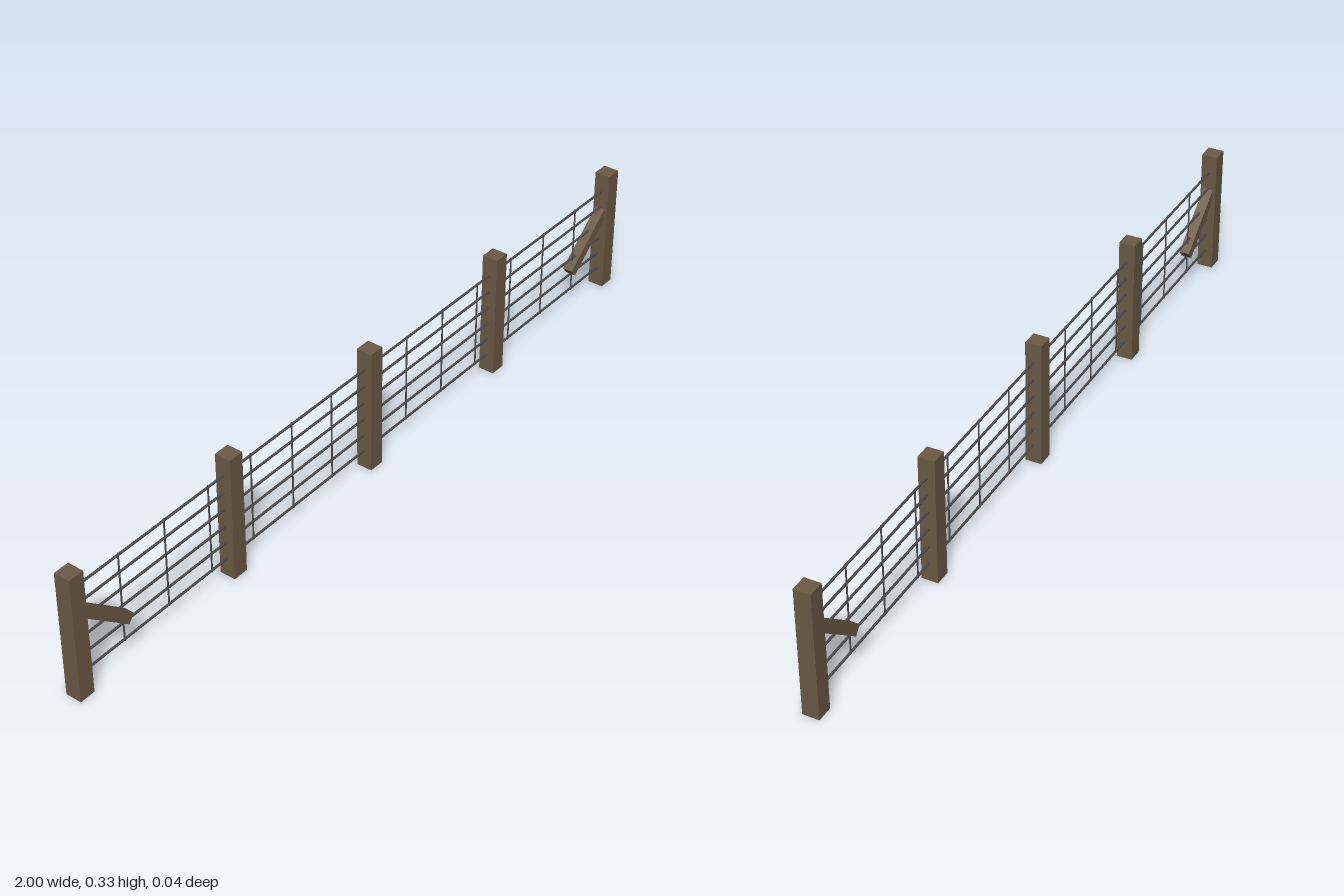
import * as THREE from 'three';

export function createModel() {
  const fence = new THREE.Group();
  fence.name = 'wireFence';
  const wood = new THREE.MeshStandardMaterial({ color: 0x6b5a45 });
  const steel = new THREE.MeshStandardMaterial({ color: 0x4c4c4e });

  const add = (name, geometry, material, x, y, angle = 0) => {
    const mesh = new THREE.Mesh(geometry, material);
    mesh.name = name;
    mesh.position.set(x, y, 0);
    mesh.rotation.z = angle;
    fence.add(mesh);
  };

  // Five square posts
  const postHeight = 0.327;
  const post = new THREE.BoxGeometry(0.041, postHeight, 0.041);
  for (let i = -2; i <= 2; i++) add('post', post, wood, i * 0.49, postHeight / 2);

  // Horizontal wires running through the posts
  const wire = new THREE.CylinderGeometry(0.003, 0.003, 1.96, 8);
  for (let i = 0; i < 6; i++) add('lineWire', wire, steel, 0, 0.049 + i * 0.0458, Math.PI / 2);

  // Upright stays tying the wires together, skipping the middle post
  const stay = new THREE.CylinderGeometry(0.002, 0.002, 0.238, 8);
  for (let i = -6; i <= 6; i++) if (i !== 0) add('stayWire', stay, steel, i * 0.14, 0.1635);

  // Diagonal braces sloping down and inward from the end posts
  const high = new THREE.Vector2(0.973, 0.225), low = new THREE.Vector2(0.828, 0.104);
  const slope = Math.atan2(high.y - low.y, high.x - low.x);
  const brace = new THREE.BoxGeometry(high.distanceTo(low), 0.026, 0.026);
  for (const side of [-1, 1]) {
    add('brace', brace, wood, side * (high.x + low.x) / 2, (high.y + low.y) / 2, side * slope);
  }
  return fence;
}
